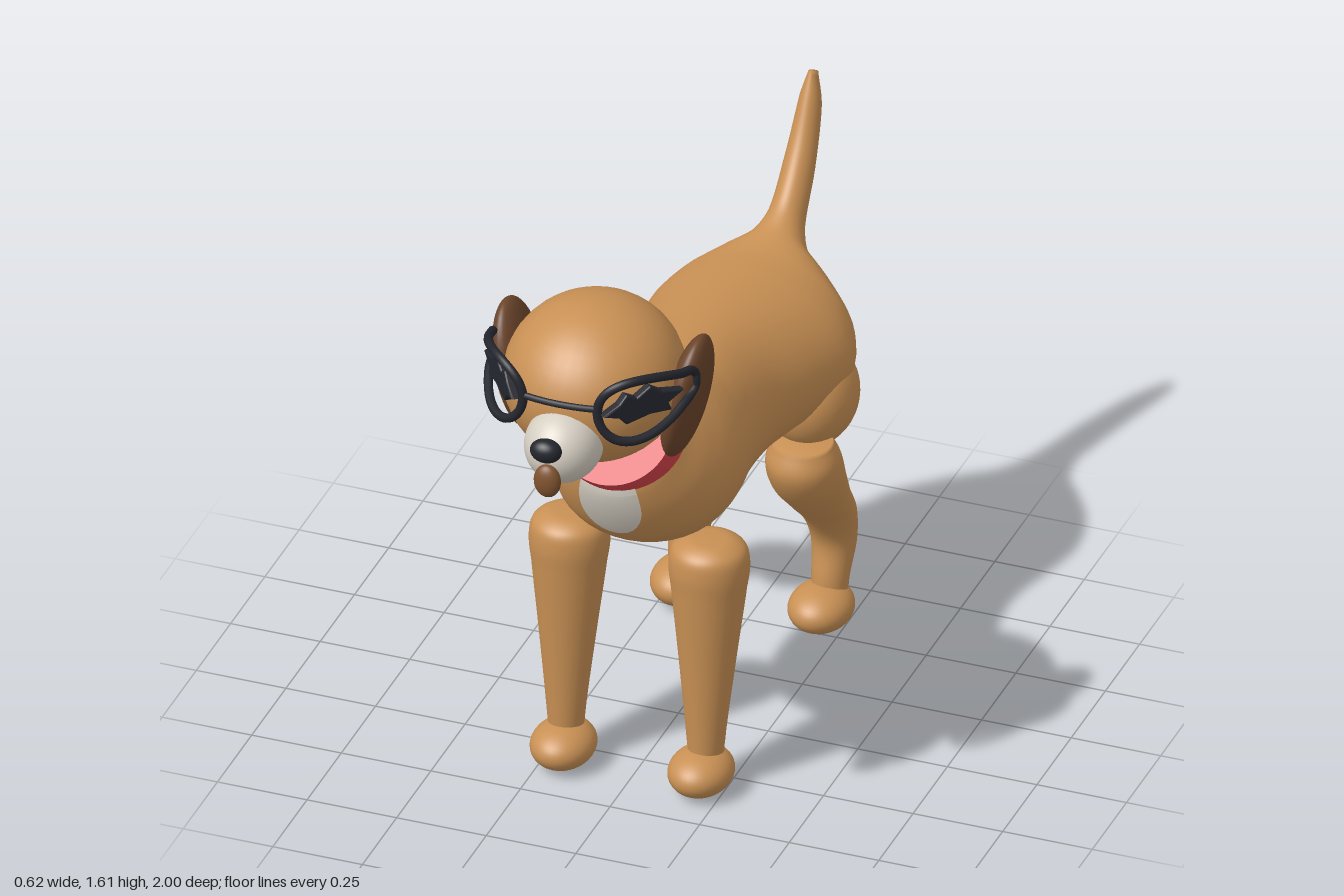
import * as THREE from 'three';
import { toCreasedNormals } from 'three/addons/utils/BufferGeometryUtils.js';

const paint = (name, color) => {
  const m = new THREE.MeshStandardMaterial({ color });
  m.name = name;
  return m;
};

// Surface through cross-sections given as [upperZ, upperY, lowerZ, lowerY, halfWidth];
// pear makes the lower half wider than the upper half.
function sweep(stations, pear = 0) {
  const upper = new THREE.CatmullRomCurve3(stations.map(s => new THREE.Vector3(0, s[1], s[0])));
  const lower = new THREE.CatmullRomCurve3(stations.map(s => new THREE.Vector3(0, s[3], s[2])));
  const width = new THREE.CatmullRomCurve3(stations.map((s, i) => new THREE.Vector3(s[4], i * 0.1, 0)));
  return (t, a) => {
    const p = lower.getPoint(t).lerp(upper.getPoint(t), 0.5 + 0.5 * Math.sin(a));
    p.x = width.getPoint(t).x * Math.cos(a) * (1 - pear * Math.sin(a));
    return p;
  };
}

function loft(surface, rows, cols = 36) {
  const pos = [], index = [];
  for (let i = 0; i <= rows; i++) {
    for (let j = 0; j < cols; j++) pos.push(...surface(i / rows, j / cols * Math.PI * 2).toArray());
  }
  for (const t of [0, 1]) {
    pos.push(...surface(t, Math.PI / 2).lerp(surface(t, -Math.PI / 2), 0.5).toArray());
  }
  const first = (rows + 1) * cols;
  for (let j = 0; j < cols; j++) {
    const k = (j + 1) % cols;
    for (let i = 0; i < rows; i++) {
      const a = i * cols + j, b = i * cols + k;
      index.push(a, a + cols, b, b, a + cols, b + cols);
    }
    index.push(first, j, k, first + 1, rows * cols + k, rows * cols + j);
  }
  const g = new THREE.BufferGeometry();
  g.setAttribute('position', new THREE.Float32BufferAttribute(pos, 3));
  g.setIndex(index);
  g.computeVertexNormals();
  return g;
}

export function createModel() {
  const model = new THREE.Group();
  model.name = 'dog';
  const fur = paint('tan fur', 0xc89054);
  const brown = paint('dark brown', 0x6b452b);
  const tongueBrown = paint('tongue brown', 0x80532f);
  const cream = paint('cream', 0xd6cfc3);
  const red = paint('collar red', 0xd6434a);
  const dark = paint('near black', 0x24262e);

  const add = (name, geometry, material, x = 0, y = 0, z = 0) => {
    const mesh = new THREE.Mesh(geometry, material);
    mesh.name = name;
    mesh.position.set(x, y, z);
    model.add(mesh);
    return mesh;
  };
  const ball = (name, material, [x, y, z], radii) =>
    add(name, new THREE.SphereGeometry(1, 36, 24).scale(...radii), material, x, y, z);

  // Body, from the neck back to the tip of the tail
  const bodyStations = [
    [0.31, 1.20, 0.52, 1.02, 0.145],
    [0.25, 1.18, 0.52, 0.965, 0.165],
    [0.17, 1.155, 0.49, 0.88, 0.205],
    [0.10, 1.135, 0.43, 0.79, 0.235],
    [0.05, 1.12, 0.33, 0.72, 0.245],
    [0.00, 1.11, 0.20, 0.685, 0.235],
    [-0.08, 1.105, 0.02, 0.675, 0.215],
    [-0.20, 1.095, -0.18, 0.668, 0.218],
    [-0.36, 1.08, -0.36, 0.66, 0.262],
    [-0.50, 1.07, -0.50, 0.65, 0.292],
    [-0.60, 1.067, -0.60, 0.70, 0.262],
    [-0.66, 1.075, -0.68, 0.80, 0.18],
    [-0.71, 1.09, -0.735, 0.91, 0.09],
    [-0.77, 1.125, -0.80, 1.00, 0.052],
    [-0.865, 1.235, -0.905, 1.135, 0.042],
    [-0.94, 1.365, -0.985, 1.29, 0.03],
    [-0.965, 1.41, -1.0, 1.395, 0.012],
  ];
  const bodySurface = sweep(bodyStations, 0.1);
  add('bodyAndTail', loft(bodySurface, 96, 48), fur);

  // Chest patch, laid just over the body surface
  const patch = new THREE.RingGeometry(0, 1, 40, 12);
  const pp = patch.attributes.position;
  for (let i = 0; i < pp.count; i++) {
    const t = Math.max(0, 0.9 - 1.75 * pp.getY(i)) / (bodyStations.length - 1);
    const p = bodySurface(t, -Math.PI / 2 + 0.47 * pp.getX(i));
    pp.setXYZ(i, p.x, p.y - 0.003, p.z + 0.006);
  }
  patch.computeVertexNormals();
  add('chestPatch', patch, cream);

  // Collar, deeper at the nape than at the throat
  const collar = loft(sweep([
    [0.37, 1.275, 0.577, 1.03, 0.163],
    [0.316, 1.232, 0.55, 1.004, 0.166],
    [0.262, 1.185, 0.522, 0.982, 0.168],
  ]), 6, 48);
  add('collar', toCreasedNormals(collar, 0.7), red);

  // Head
  ball('head', fur, [0, 1.387, 0.611], [0.24, 0.222, 0.252]);
  ball('muzzle', cream, [0, 1.307, 0.835], [0.103, 0.103, 0.118]);
  ball('nose', dark, [0, 1.357, 0.968], [0.043, 0.033, 0.031]);
  ball('tongue', tongueBrown, [0, 1.26, 0.958], [0.037, 0.048, 0.024]);

  // Legs, from the ankle up
  const frontLeg = loft(sweep([
    [0.36, 0.07, 0.255, 0.07, 0.047],
    [0.362, 0.14, 0.258, 0.14, 0.05],
    [0.372, 0.36, 0.228, 0.36, 0.073],
    [0.387, 0.60, 0.188, 0.60, 0.1],
    [0.39, 0.67, 0.18, 0.67, 0.107],
    [0.38, 0.715, 0.19, 0.715, 0.098],
    [0.345, 0.74, 0.225, 0.74, 0.062],
    [0.30, 0.745, 0.27, 0.745, 0.015],
  ]), 42);
  const hindLeg = loft(sweep([
    [-0.53, 0.07, -0.63, 0.07, 0.048],
    [-0.535, 0.14, -0.635, 0.12, 0.05],
    [-0.55, 0.24, -0.672, 0.22, 0.06],
    [-0.51, 0.32, -0.65, 0.34, 0.072],
    [-0.41, 0.42, -0.575, 0.45, 0.086],
    [-0.325, 0.51, -0.52, 0.54, 0.1],
    [-0.29, 0.59, -0.485, 0.62, 0.1],
    [-0.31, 0.655, -0.455, 0.67, 0.08],
  ]), 42);

  // Lens rims wrap around the head: depth follows distance from the middle
  const rimZ = x => {
    const u = THREE.MathUtils.clamp((x - 0.1) / 0.178, 0, 1);
    return 0.615 + 0.25 * Math.pow(1 - u * u, 0.6);
  };
  const eyeOutline = [
    [-0.115, 0], [-0.07, 0.018], [-0.05, 0.04], [-0.02, 0.022], [0.02, 0.045], [0.055, 0.022],
    [0.115, 0.01], [0.07, -0.012], [0.08, -0.035], [0.02, -0.028], [-0.05, -0.038], [-0.07, -0.015],
  ];

  for (const s of [1, -1]) {
    const side = s > 0 ? 'left' : 'right';

    add(side + 'FrontLeg', frontLeg, fur, s * 0.195);
    add(side + 'HindLeg', hindLeg, fur, s * 0.2);
    ball(side + 'FrontPaw', fur, [s * 0.192, 0.063, 0.337], [0.086, 0.062, 0.105]);
    ball(side + 'HindPaw', fur, [s * 0.192, 0.063, -0.54], [0.086, 0.062, 0.105]);
    ball(side + 'Haunch', fur, [s * 0.19, 0.745, -0.485], [0.12, 0.14, 0.145]).rotation.x = 0.4;

    const ear = ball(side + 'Ear', brown, [s * 0.235, 1.34, 0.55], [0.05, 0.187, 0.116]);
    ear.rotation.z = s * -0.2;

    const rim = [];
    for (let i = 0; i < 32; i++) {
      const a = i / 32 * Math.PI * 2;
      const x = 0.194 + 0.09 * Math.cos(a);
      rim.push(new THREE.Vector3(s * x, 1.437 + 0.09 * Math.sin(a), rimZ(x)));
    }
    const rimCurve = new THREE.CatmullRomCurve3(rim, true);
    add(side + 'LensRim', new THREE.TubeGeometry(rimCurve, 72, 0.0125, 10, true), dark);

    // Ragged eye ornament in the middle of the lens
    const outline = new THREE.Shape();
    outline.setFromPoints(eyeOutline.map(([x, y]) => new THREE.Vector2(s * x, y)));
    const ornament = new THREE.ExtrudeGeometry(outline, {
      depth: 0.015, bevelThickness: 0.006, bevelSize: 0.005, bevelSegments: 2,
    });
    add(side + 'EyeOrnament', ornament, dark, s * 0.188, 1.435, 0.772).rotation.y = s * 0.9;
  }

  // Bridge between the rims
  const bridge = new THREE.QuadraticBezierCurve3(
    new THREE.Vector3(-0.105, 1.447, 0.865),
    new THREE.Vector3(0, 1.447, 0.888),
    new THREE.Vector3(0.105, 1.447, 0.865));
  add('glassesBridge', new THREE.TubeGeometry(bridge, 16, 0.009, 10), dark);

  return model;
}
